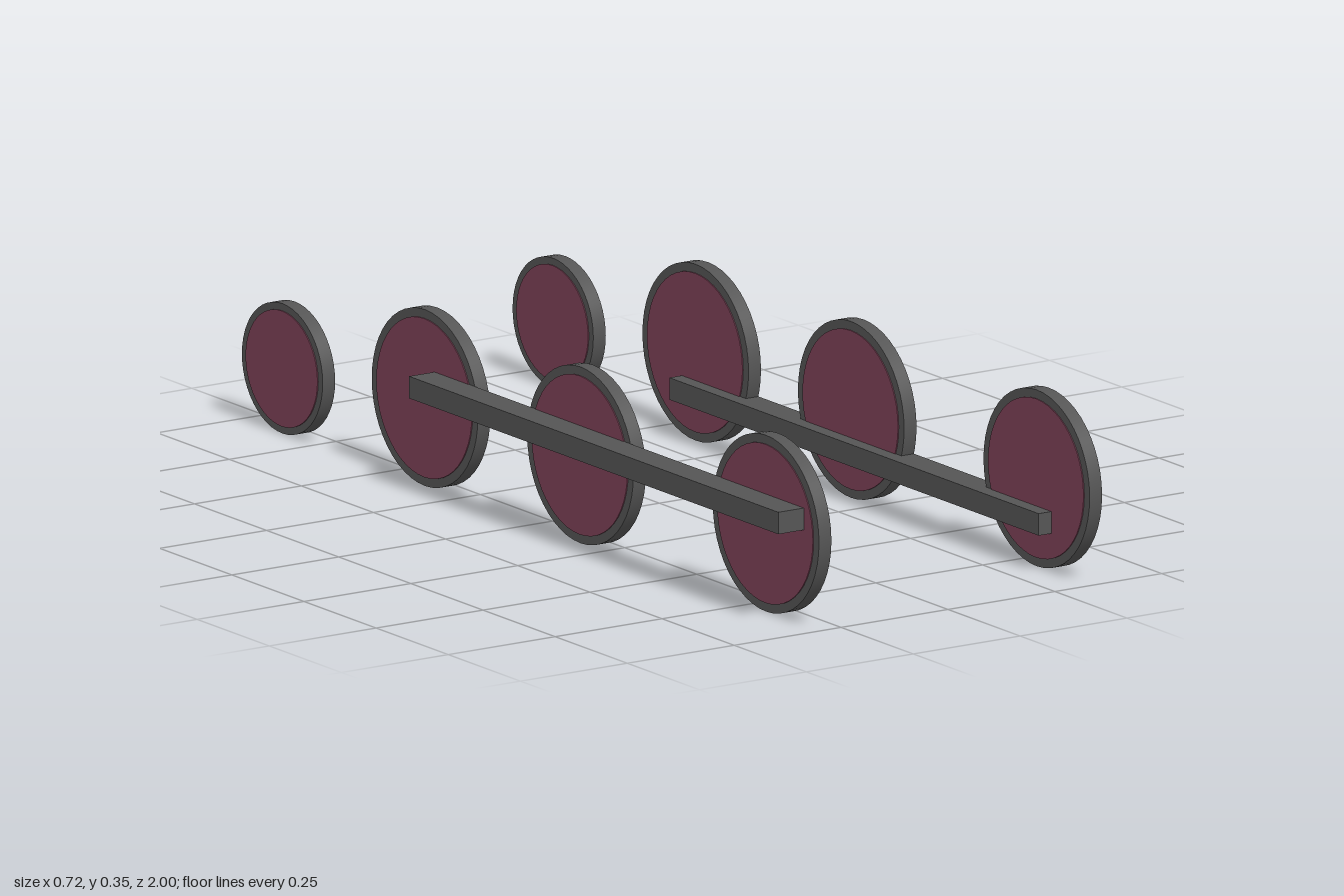
import * as THREE from 'three';
import { toCreasedNormals } from 'three/addons/utils/BufferGeometryUtils.js';

const grey = new THREE.MeshStandardMaterial({ color: 0x555555 });
const red = new THREE.MeshStandardMaterial({ color: 0x7f4258 });

const WIDTH = 0.029;
const SEGMENTS = 48;

// Wheel facing along x: a grey rim ring around a disc set slightly towards -x
function makeWheel(name, x, z, ry, rz, discRatio) {
  const wheel = new THREE.Group();
  wheel.name = name;
  const h = WIDTH / 2;
  const profile = [[1, -h], [1, h], [discRatio, h], [discRatio, -h], [1, -h]]
    .map(([r, y]) => new THREE.Vector2(r, y));
  const ringGeometry = new THREE.LatheGeometry(profile, SEGMENTS);
  const discGeometry = new THREE.CylinderGeometry(discRatio, discRatio, WIDTH, SEGMENTS);
  for (const g of [ringGeometry, discGeometry]) {
    g.rotateZ(Math.PI / 2);
    g.scale(1, ry, rz);
  }
  const rim = new THREE.Mesh(toCreasedNormals(ringGeometry, 0.6), grey);
  rim.name = 'rim';
  const disc = new THREE.Mesh(toCreasedNormals(discGeometry, 0.6), red);
  disc.name = 'disc';
  disc.position.x = -0.002;
  wheel.add(rim, disc);
  wheel.position.set(x, ry, z);
  return wheel;
}

// Straight bar given by its extents
function makeBar(name, [x0, x1], [y0, y1], [z0, z1]) {
  const bar = new THREE.Mesh(new THREE.BoxGeometry(x1 - x0, y1 - y0, z1 - z0), grey);
  bar.name = name;
  bar.position.set((x0 + x1) / 2, (y0 + y1) / 2, (z0 + z1) / 2);
  return bar;
}

export function createModel() {
  const model = new THREE.Group();
  model.name = 'wheelSet';

  // Three driving wheels and one trailing wheel on each side
  for (const [side, x] of [['right', -0.287], ['left', 0.346]]) {
    [0.816, 0.173, -0.366].forEach((z, i) => {
      model.add(makeWheel(`${side}DrivingWheel${i + 1}`, x, z, 0.1765, 0.184, 0.9));
    });
    model.add(makeWheel(`${side}TrailingWheel`, x, -0.86, 0.13, 0.14, 0.89));
  }

  // Coupling rods
  model.add(makeBar('rightCouplingRod', [-0.363, -0.302], [0.192, 0.236], [-0.33, 0.95]));
  model.add(makeBar('leftCouplingRod', [0.3, 0.361], [0.077, 0.121], [-0.41, 0.87]));
  return model;
}
